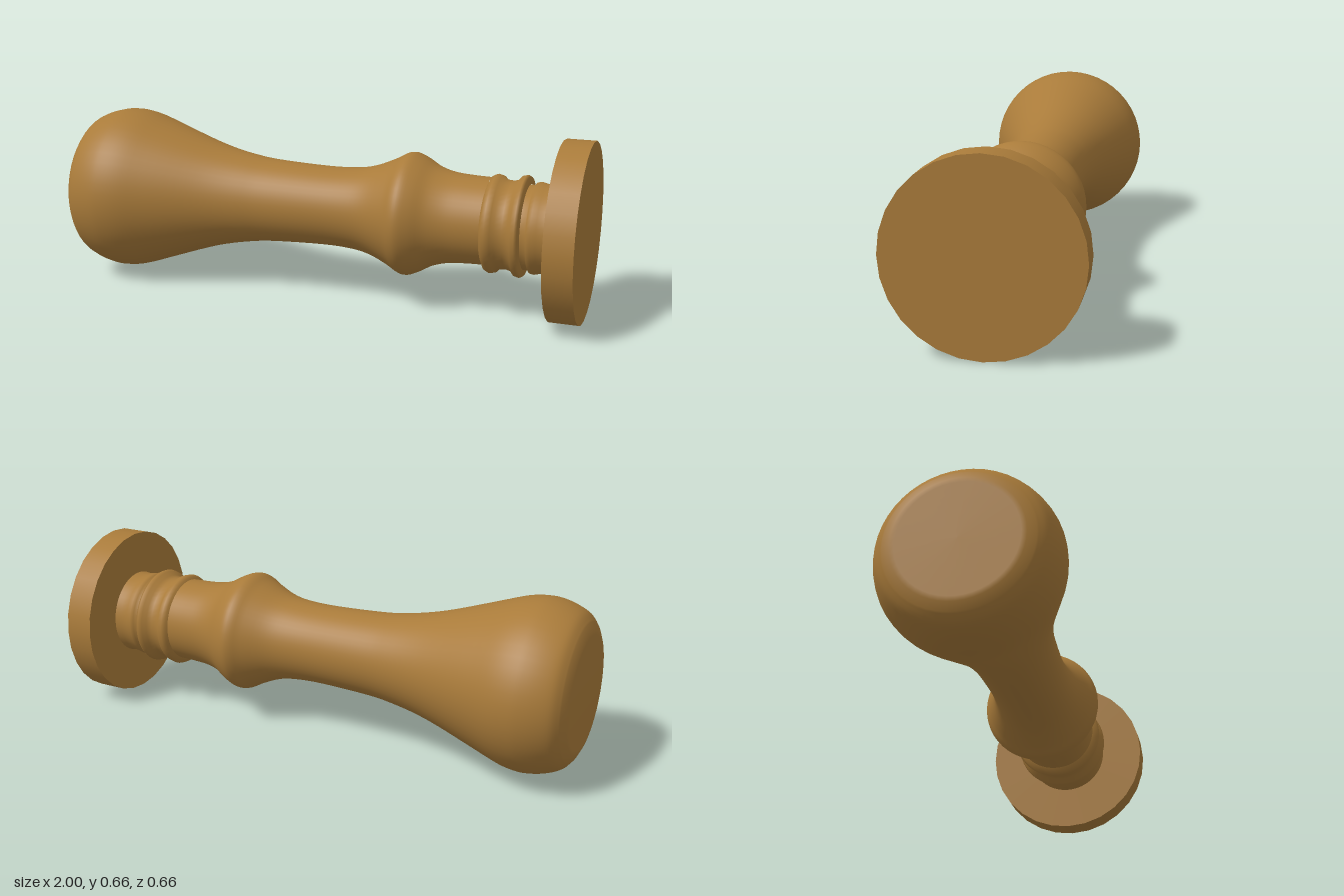
import * as THREE from 'three';

// Turned profiles as [position along the axis, radius]
const handleProfile = [
  [-0.985, 0.25], [-0.96, 0.279], [-0.92, 0.299], [-0.87, 0.313], [-0.82, 0.317],
  [-0.75, 0.306], [-0.65, 0.272], [-0.5, 0.22], [-0.4, 0.191], [-0.3, 0.171], [-0.2, 0.159],
  [0, 0.151], [0.12, 0.155], [0.2, 0.17], [0.28, 0.204], [0.32, 0.226], [0.35, 0.23],
  [0.39, 0.214], [0.44, 0.186], [0.5, 0.169], [0.57, 0.163], [0.64, 0.161],
];
const ringProfile = [
  [0.635, 0.155], [0.645, 0.175], [0.66, 0.182], [0.68, 0.177], [0.692, 0.164],
  [0.72, 0.162], [0.74, 0.168], [0.752, 0.183], [0.768, 0.187], [0.778, 0.182], [0.782, 0.155],
];
const neckProfile = [
  [0.78, 0.155], [0.8, 0.155], [0.806, 0.165], [0.82, 0.168], [0.84, 0.163], [0.87, 0.16], [0.9, 0.164],
];

export function createModel() {
  const group = new THREE.Group();
  const wood = new THREE.MeshStandardMaterial({ color: 0xa97b3a });
  wood.name = 'warm wood';

  const add = (name, geometry, y) => {
    geometry.rotateZ(-Math.PI / 2); // turning axis along x
    const mesh = new THREE.Mesh(geometry, wood);
    mesh.name = name;
    mesh.position.y = y;
    group.add(mesh);
    return mesh;
  };
  const turn = (points, segments) =>
    new THREE.LatheGeometry(points.map(([x, r]) => new THREE.Vector2(r, x)), segments);

  // Smooth grip with a rounded butt and a flat end
  const curve = new THREE.SplineCurve(handleProfile.map(p => new THREE.Vector2(...p)));
  const grip = curve.getPoints(84).map(p => [p.x, p.y]);
  add('grip', turn([[-1, 0], [-1, 0.205], [-0.998, 0.222], ...grip], 48), 0.342).position.z = -0.004;

  // Turned rings and the neck behind the disc
  add('rings', turn(ringProfile, 48), 0.336);
  add('neck', turn(neckProfile, 48), 0.334);

  // Flat end disc
  const disc = new THREE.CylinderGeometry(0.33, 0.33, 0.106, 28);
  add('endDisc', disc, 0.333).position.x = 0.947;

  return group;
}
